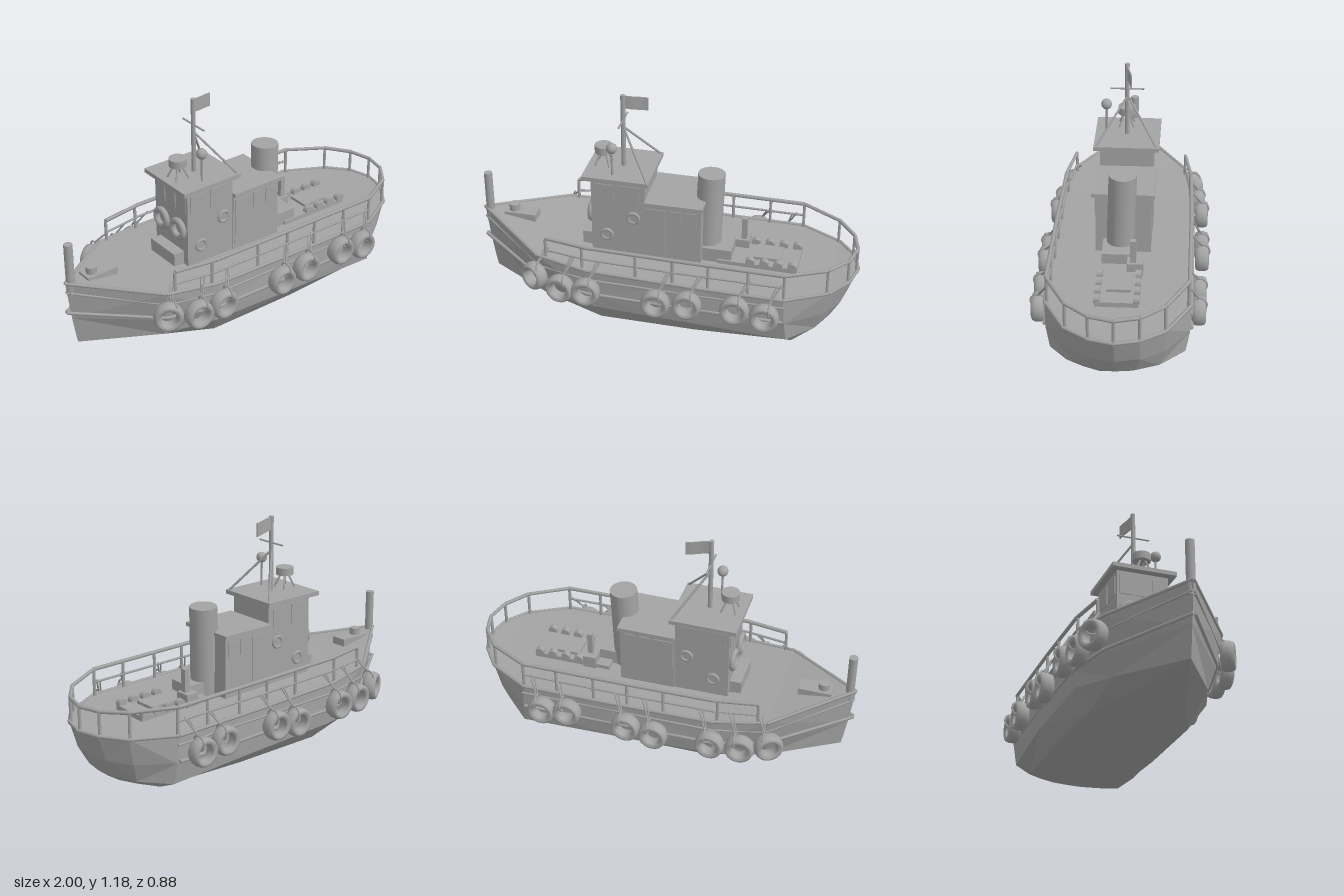
import * as THREE from 'three';

export function createModel() {
  const boat = new THREE.Group();
  boat.name = 'tugboat';
  const grey = new THREE.MeshStandardMaterial({ color: 0xa3a3a3 });
  grey.name = 'plain grey';
  const V = (x, y, z) => new THREE.Vector3(x, y, z);

  function add(name, geo, x = 0, y = 0, z = 0) {
    const m = new THREE.Mesh(geo, grey);
    m.name = name;
    m.position.set(x, y, z);
    boat.add(m);
    return m;
  }
  // Box given by its limits on each axis
  const box = (name, x0, x1, y0, y1, z0, z1) =>
    add(name, new THREE.BoxGeometry(x1 - x0, y1 - y0, z1 - z0), (x0 + x1) / 2, (y0 + y1) / 2, (z0 + z1) / 2);
  // Round bar between two points
  function bar(name, a, b, r, sides = 6) {
    const d = b.clone().sub(a);
    const m = add(name, new THREE.CylinderGeometry(r, r, d.length(), sides));
    m.position.copy(a).add(b).multiplyScalar(0.5);
    m.quaternion.setFromUnitVectors(V(0, 1, 0), d.normalize());
    return m;
  }
  function chain(name, pts, r) {
    for (let i = 0; i + 1 < pts.length; i++) bar(name, pts[i], pts[i + 1], r);
  }

  // Hull: half outlines from bow to stern, at deck, waist, chine and bottom
  const levels = [
    [[-1, .43, 0], [-.62, .37, .3], [-.35, .345, .345], [.2, .335, .352], [.66, .33, .352], [.87, .33, .24], [.96, .335, .12], [.99, .335, 0]],
    [[-.975, .22, 0], [-.61, .2, .27], [-.35, .2, .342], [.2, .2, .355], [.67, .19, .35], [.84, .19, .23], [.92, .2, .12], [.945, .2, 0]],
    [[-.96, .12, 0], [-.6, .09, .23], [-.35, .12, .33], [.2, .11, .345], [.68, .08, .33], [.81, .09, .21], [.87, .1, .1], [.885, .1, 0]],
    [[-.95, .055, 0], [-.6, .025, .12], [-.3, .003, .25], [.2, .008, .26], [.7, .02, .25], [.77, .03, .16], [.82, .04, .08], [.825, .04, 0]],
  ];
  const rings = levels.map((half, j) => {
    const port = half.slice(1, -1).reverse().map(([x, y, z]) => [x, y, -z]);
    // the bottom lies slightly heeled
    return [...half, ...port].map(([x, y, z]) => V(x, j === 3 ? y + (.25 - z) * .05 : y, z));
  });
  const tri = [];
  const face = (...p) => p.forEach(v => tri.push(v.x, v.y, v.z));
  const n = rings[0].length;
  for (let i = 0; i < n; i++) {
    const k = (i + 1) % n;
    for (let j = 0; j < 3; j++) {
      const a = rings[j][i], b = rings[j][k], c = rings[j + 1][i], d = rings[j + 1][k];
      if ((i + j) % 2) face(a, c, d, a, d, b);
      else face(a, c, b, b, c, d);
    }
  }
  // Deck and bottom are closed by strips across the beam
  for (const [ring, up] of [[rings[0], true], [rings[3], false]]) {
    for (let i = 0; i < 7; i++) {
      const a = ring[i], b = ring[i + 1], c = ring[(n - i) % n], d = ring[n - i - 1];
      if (up) face(a, b, c, b, d, c);
      else face(a, c, b, b, c, d);
    }
  }
  const hull = new THREE.BufferGeometry();
  hull.setAttribute('position', new THREE.Float32BufferAttribute(tri, 3));
  hull.computeVertexNormals();
  add('hull', hull);

  // Gunwale, strakes and railings, mirrored on both sides
  const rail = [[-.57, .48, .3], [-.35, .478, .335], [.1, .475, .342], [.66, .47, .342], [.86, .462, .235], [.95, .457, .12], [.98, .455, 0]];
  const postXs = [-.57, -.37, -.09, .1, .28, .48, .66];
  for (const s of [1, -1]) {
    const P = pts => pts.map(([x, y, z]) => V(x, y, z * s));
    chain('gunwale', P(levels[0]), .009);
    chain('upperStrake', P([[-.995, .375, .004], [-.61, .3, .292], [-.35, .292, .348], [.67, .285, .354]]), .006);
    chain('rubbingStrake', P([[-1, .262, .004], [-.61, .215, .277], [-.35, .205, .345], [.66, .2, .356]]), .009);
    chain('topRail', P(rail), .01);
    chain('middleRail', P([[-.57, .41, .3], [-.35, .408, .335], [.1, .404, .342], [.66, .4, .342]]), .006);
    for (const x of postXs) {
      const z = x < -.35 ? .3 + (x + .57) * .159 : .34;
      bar('railPost', V(x, .33, z * s), V(x, .476, z * s), .008);
    }
    for (const [x, y, z] of rail.slice(4)) bar('railPost', V(x, .32, z * s), V(x, y, z * s), .008);
  }

  // Tyre fenders hung on ropes
  const tyreProfile = [[.044, -.026], [.056, -.035], [.068, -.03], [.074, -.012], [.074, .012], [.068, .03], [.056, .035], [.044, .026], [.04, 0], [.044, -.026]]
    .map(p => new THREE.Vector2(...p));
  const tyre = new THREE.LatheGeometry(tyreProfile, 20).rotateX(Math.PI / 2);
  const fenders = [
    [-.63, .26, .325], [-.48, .235, .37], [-.34, .245, .385], [.025, .24, .395], [.185, .255, .395], [.425, .26, .39], [.575, .24, .39],
    [-.64, .26, -.345], [-.5, .235, -.375], [-.35, .24, -.395], [-.055, .225, -.398], [.09, .245, -.402], [.41, .25, -.39], [.55, .23, -.39],
  ];
  for (const [x, y, z] of fenders) {
    const s = Math.sign(z);
    const t = add('tyreFender', tyre, x, y, z);
    if (x < -.6) t.rotation.y = -s * .5;
    else if (x < -.4) t.rotation.y = -s * .12;
    const loop = add('ropeLoop', new THREE.TorusGeometry(.038, .005, 5, 12), x + .025, y + .052, z);
    loop.rotation.y = Math.PI / 2;
    bar('fenderRope', V(x + .025, y + .085, z), V(x + .07, .41, z - s * .05), .005, 5);
    bar('fenderRope', V(x + .02, y + .085, z - s * .01), V(x + .05, .405, z - s * .05), .004, 5);
  }

  // Wheelhouse and after cabin
  box('wheelhouse', -.37, -.09, .33, .768, -.135, .135);
  box('wheelhouseRoof', -.41, -.065, .765, .787, -.168, .168);
  box('afterCabin', -.09, .2, .33, .655, -.14, .14);
  box('afterCabinRoof', -.09, .21, .65, .67, -.158, .158);
  box('foreLocker', -.43, -.37, .33, .42, -.1, .1);
  for (const s of [1, -1]) {
    const plate = (name, x0, x1, y0, y1, z) => box(name, x0, x1, y0, y1, Math.min(s * z, s * (z + .004)), Math.max(s * z, s * (z + .004)));
    plate('sideWindow', -.35, -.25, .64, .74, .135);
    plate('sideWindow', -.23, -.12, .64, .74, .135);
    plate('cabinDoor', -.08, .02, .37, .63, .14);
    plate('cabinWindow', .04, .1, .55, .63, .14);
    plate('cabinWindow', .12, .18, .55, .63, .14);
    for (const [x, y] of [[-.15, .56], [-.29, .445]]) {
      add('portholeRim', new THREE.TorusGeometry(.028, .009, 8, 18), x, y, s * .138);
      const g = add('portholeGlass', new THREE.CylinderGeometry(.028, .028, .008, 18), x, y, s * .136);
      g.rotation.x = Math.PI / 2;
    }
    const ring = add('lifeRing', new THREE.TorusGeometry(.045, .016, 8, 20), -.382, .54, s * .07);
    ring.rotation.y = Math.PI / 2;
  }
  for (const z of [-.085, 0, .085]) box('frontWindow', -.374, -.37, .64, .74, z - .036, z + .036);

  // Funnel with a slight lean, and the deck gear behind it
  bar('funnel', V(.21, .33, .015), V(.225, .795, 0), .07, 20);
  box('funnelBase', .14, .35, .33, .41, -.04, .1);
  box('engineCasing', .35, .42, .33, .4, -.11, -.03);
  box('exhaustPipe', .378, .405, .33, .52, -.075, -.045);
  box('deckHatch', .28, .69, .33, .355, -.1, .11);
  box('hatchLid', .46, .6, .35, .37, -.06, .06);
  for (const s of [1, -1]) for (let i = 0; i < 4; i++) {
    const x = .45 + i * .072;
    const c = add('hatchRoller', new THREE.CylinderGeometry(.024, .024, .03, 12), x, .362, .005 + s * .095);
    c.rotation.x = Math.PI / 2;
  }

  // Foredeck: stem post and windlass
  bar('stemPost', V(-.97, .36, 0), V(-.97, .64, 0), .022, 12);
  box('windlassBase', -.885, -.715, .37, .425, -.06, .025);
  bar('windlassDrum', V(-.84, .42, -.017), V(-.84, .46, -.017), .028, 14);

  // Mast, yard, stays and flag
  bar('mast', V(-.23, .78, .003), V(-.23, 1.182, .003), .012, 10);
  bar('yard', V(-.23, 1.043, -.083), V(-.23, 1.043, .09), .005);
  for (const s of [1, -1]) bar('stay', V(-.23, 1.005, 0), V(-.075, .785, s * .155), .006);
  const cloth = new THREE.BoxGeometry(.115, .07, .006, 6, 1, 1);
  const cp = cloth.attributes.position;
  for (let i = 0; i < cp.count; i++) {
    const u = cp.getX(i) + .0575;
    cp.setZ(i, cp.getZ(i) - u * .2 + Math.sin(u * 50) * .003);
    cp.setY(i, cp.getY(i) - u * .1);
  }
  cloth.computeVertexNormals();
  add('flag', cloth, -.165, 1.144, 0);

  // Searchlight drum on splayed legs, and the ball lamp
  bar('lightDrum', V(-.332, .855, .01), V(-.332, .895, .01), .046, 16);
  for (const sx of [1, -1]) for (const sz of [1, -1])
    bar('drumLeg', V(-.332 + sx * .012, .86, .01 + sz * .012), V(-.332 + sx * .038, .785, .01 + sz * .038), .005);
  bar('lampPole', V(-.262, .78, .112), V(-.262, .92, .112), .006);
  add('ballLamp', new THREE.SphereGeometry(.028, 16, 12), -.262, .937, .112);

  return boat;
}
